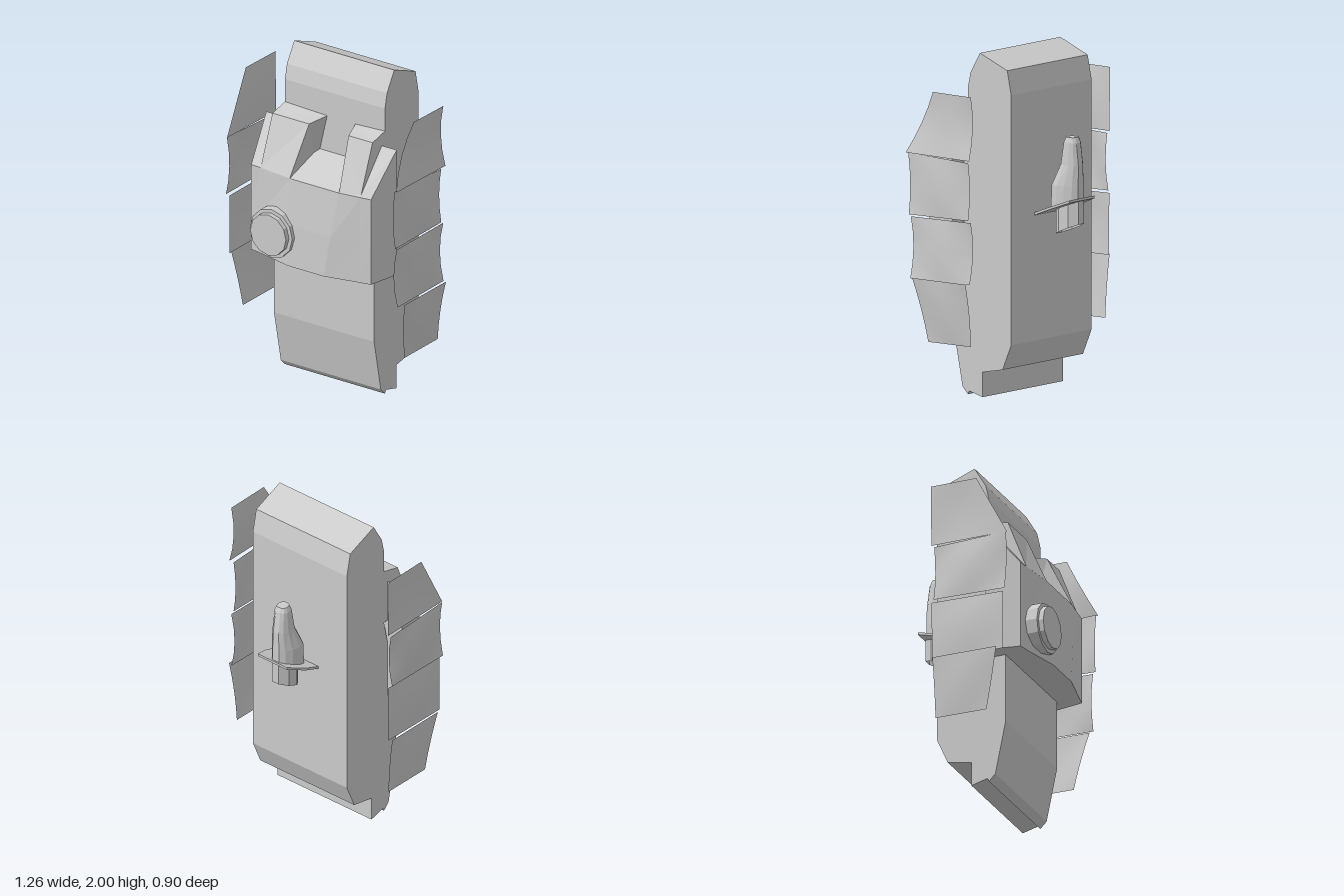
import * as THREE from 'three';

const grey = new THREE.MeshStandardMaterial({ color: 0xcccccc, flatShading: true });
const thin = new THREE.MeshStandardMaterial({ color: 0xcccccc, side: THREE.DoubleSide });

function add(parent, name, geometry, material = grey) {
  const mesh = new THREE.Mesh(geometry, material);
  mesh.name = name;
  parent.add(mesh);
  return mesh;
}

// Closed solid through rings of [x, y, z] points, always turned outward
function loft(rings) {
  const tris = [];
  const n = rings[0].length;
  for (let r = 0; r < rings.length - 1; r++) {
    for (let i = 0; i < n; i++) {
      const j = (i + 1) % n, a = rings[r], b = rings[r + 1];
      tris.push([a[i], a[j], b[j]], [a[i], b[j], b[i]]);
    }
  }
  const first = rings[0], last = rings[rings.length - 1];
  for (let i = 1; i < n - 1; i++) {
    tris.push([first[0], first[i + 1], first[i]], [last[0], last[i], last[i + 1]]);
  }
  let volume = 0;
  for (const [a, b, c] of tris) {
    volume += new THREE.Vector3(...a).dot(new THREE.Vector3(...b).cross(new THREE.Vector3(...c)));
  }
  if (volume < 0) tris.forEach((t) => t.reverse());
  const geometry = new THREE.BufferGeometry();
  geometry.setAttribute('position', new THREE.Float32BufferAttribute(tris.flat(2), 3));
  geometry.computeVertexNormals();
  return geometry;
}

// Side profile [z, y] pushed across x from x0 to x1
function extrudeAcross(profile, x0, x1) {
  const shape = new THREE.Shape(profile.map(([z, y]) => new THREE.Vector2(z, y)));
  return new THREE.ExtrudeGeometry(shape, { depth: x1 - x0, bevelEnabled: false })
    .rotateY(-Math.PI / 2).translate(x1, 0, 0);
}

// Block beside the neck gap; side is -1 or 1
function shoulderBlock(outerX, side) {
  const inner = (d) => 0.04 + side * d;
  return loft([
    [[outerX, 1.3, 0.11], [outerX, 1.32, 0.345], [outerX, 1.62, 0.23], [outerX, 1.65, 0.11]],
    [[inner(0.18), 1.3, 0.11], [inner(0.175), 1.32, 0.37], [inner(0.14), 1.62, 0.23], [inner(0.1), 1.64, 0.11]],
  ]);
}

// Gently bowed plate; corners are [z, y]: top back, top front, bottom front, bottom back
function sidePlate([tb, tf, bf, bb], xTop, xBottom, edge, middle) {
  const geometry = new THREE.PlaneGeometry(1, 1, 4, 4);
  const p = geometry.attributes.position;
  const mix = THREE.MathUtils.lerp;
  for (let i = 0; i < p.count; i++) {
    const u = p.getX(i) + 0.5, v = 0.5 - p.getY(i);
    const z = mix(mix(tb[0], tf[0], u), mix(bb[0], bf[0], u), v);
    const y = mix(mix(tb[1], tf[1], u), mix(bb[1], bf[1], u), v);
    const bow = 4 * v * (1 - v) * mix(edge, middle, 4 * u * (1 - u));
    p.setXYZ(i, mix(xTop, xBottom, v) + bow, y, z);
  }
  geometry.computeVertexNormals();
  return geometry;
}

export function createModel() {
  const model = new THREE.Group();
  model.name = 'armouredTorso';

  // Main body
  add(model, 'body', extrudeAcross([
    [0.02, 2.0], [-0.185, 1.92], [-0.215, 1.78], [-0.215, 0.33], [-0.15, 0.18], [0, 0.15],
    [0, 0.005], [0.1, 0.03], [0.11, 0.01], [0.15, 0.05], [0.215, 0.37], [0.215, 0.8],
    [0.11, 1.3], [0.11, 1.79], [0.09, 1.88],
  ], -0.36, 0.35));

  // Chest: stations from one side to the other
  // [back x, front top x, front bottom x, back top y, front top z, front middle z, front bottom z]
  const stations = [
    [-0.47, -0.43, -0.43, 1.57, 0.34, 0.34, 0.34],
    [-0.36, -0.36, -0.36, 1.57, 0.345, 0.35, 0.352],
    [-0.14, -0.13, -0.12, 1.42, 0.37, 0.395, 0.405],
    [0.21, 0.215, 0.13, 1.42, 0.37, 0.395, 0.405],
    [0.35, 0.35, 0.35, 1.57, 0.35, 0.352, 0.355],
    [0.455, 0.42, 0.42, 1.57, 0.34, 0.34, 0.34],
  ];
  add(model, 'chest', loft(stations.map(([xb, xt, xf, yTop, zt, zm, zb]) => [
    [xb, 0.79, 0.14], [xf, 0.79, zb], [(xt + xf) / 2, 1.04, zm], [xt, 1.32, zt],
    [xb, yTop, yTop < 1.5 ? 0.11 : 0.14],
  ])));
  add(model, 'rightShoulderBlock', shoulderBlock(-0.36, -1));
  add(model, 'leftShoulderBlock', shoulderBlock(0.35, 1));

  // Round chest lamp
  for (const [name, radius, front] of [['lampRim', 0.15, 0.42], ['lampFace', 0.127, 0.45]]) {
    const depth = front - 0.3;
    add(model, name, new THREE.CylinderGeometry(radius, radius, depth, 12)
      .rotateX(Math.PI / 2).translate(-0.23, 0.97, front - depth / 2));
  }

  // Four plates down each side
  const plates = [
    [[-0.12, 1.79], [0.165, 1.79], [0.355, 1.42], [-0.12, 1.42]],
    [[-0.1, 1.405], [0.35, 1.42], [0.345, 1.06], [-0.1, 1.07]],
    [[-0.12, 1.06], [0.33, 1.05], [0.33, 0.69], [-0.115, 0.7]],
    [[-0.105, 0.705], [0.295, 0.7], [0.22, 0.33], [-0.1, 0.335]],
  ];
  // [top x, bottom x, bow at edges, bow in the middle]
  const leftBows = [[0.595, 0.61, -0.025, -0.01], [0.595, 0.595, -0.015, 0.012],
    [0.595, 0.6, -0.025, 0.012], [0.625, 0.57, -0.01, 0.01]];
  const rightBows = [[-0.612, -0.605, 0, 0.012], [-0.61, -0.62, 0.02, -0.02],
    [-0.605, -0.605, 0, -0.015], [-0.625, -0.592, 0.005, -0.01]];
  plates.forEach((corners, i) => {
    add(model, `leftSidePlate${i + 1}`, sidePlate(corners, ...leftBows[i]), thin);
    const shifted = corners.map(([z, y]) => [z - 0.02, y + 0.02]);
    add(model, `rightSidePlate${i + 1}`, sidePlate(shifted, ...rightBows[i]), thin);
  });

  // Back fitting: tapering nozzle on a slanted plate, with a hollow grip below
  const fitting = new THREE.Group();
  fitting.name = 'backFitting';
  model.add(fitting);
  const slant = (z) => 1.06 - (z + 0.22) * 0.39;

  // [y, front z, back z, front half width, back half width]
  const levels = [
    [null, -0.24, -0.435, 0.1, 0.06], [1.23, -0.245, -0.435, 0.095, 0.06],
    [1.35, -0.3, -0.432, 0.06, 0.052], [1.48, -0.32, -0.415, 0.045, 0.045],
    [1.51, -0.333, -0.403, 0.034, 0.034],
  ];
  add(fitting, 'nozzle', loft(levels.map(([y, zf, zb, wf, wb]) => {
    const ring = [];
    for (let i = 0; i < 12; i++) {
      const a = ((i + 0.5) / 12) * Math.PI * 2;
      const t = (1 - Math.cos(a)) / 2;
      const z = THREE.MathUtils.lerp(zf, zb, t);
      const width = THREE.MathUtils.lerp(wf, wb, t);
      const bulge = Math.sign(Math.sin(a)) * Math.pow(Math.abs(Math.sin(a)), 0.7);
      ring.push([-0.01 + width * bulge, y ?? slant(z), z]);
    }
    return ring;
  })));

  const outline = [[-0.15, -0.22], [0.15, -0.22], [0.15, -0.33], [0.11, -0.45], [-0.11, -0.45], [-0.15, -0.33]];
  add(fitting, 'slantedPlate', loft([0, 0.015].map((h) => outline.map(([x, z]) => [x, slant(z) + h, z]))));

  // Grip walls, open at the slanted lower end
  const grip = new THREE.CylinderGeometry(1, 1, 1, 8, 1, true).rotateY(Math.PI / 8);
  const gp = grip.attributes.position;
  for (let i = 0; i < gp.count; i++) {
    const z = -0.35 + gp.getZ(i) * 0.092;
    const y = gp.getY(i) > 0 ? slant(z) : 0.94 - (z + 0.265) * 0.41;
    gp.setXYZ(i, -0.01 + gp.getX(i) * 0.065, y, z);
  }
  grip.computeVertexNormals();
  const gripMaterial = grey.clone();
  gripMaterial.side = THREE.DoubleSide;
  add(fitting, 'hollowGrip', grip, gripMaterial);

  return model;
}
